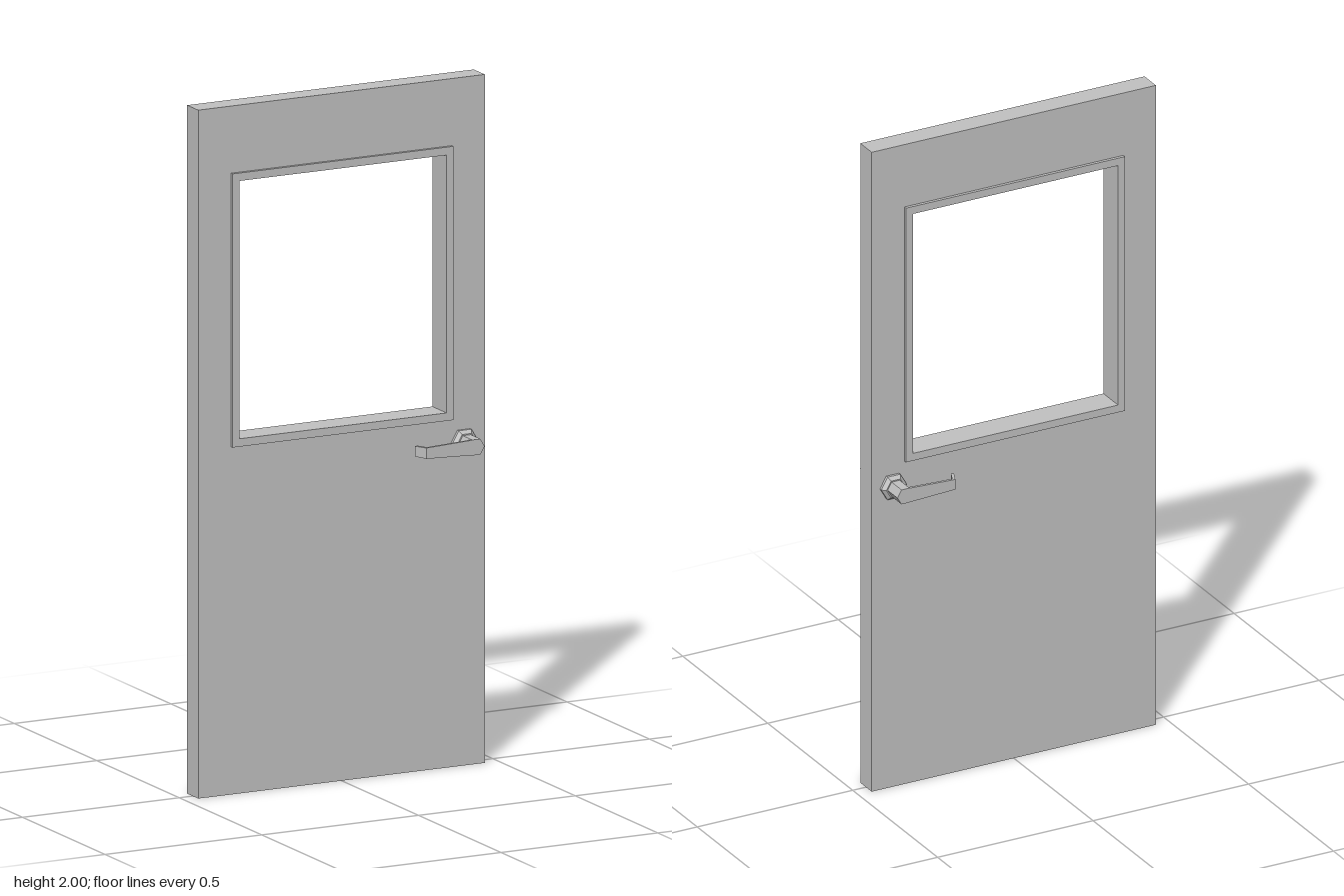
import * as THREE from 'three';

const steel = new THREE.MeshStandardMaterial({ color: 0xc0c0c0, flatShading: true });
steel.name = 'paintedSteel';

function add(parent, name, geometry) {
  const mesh = new THREE.Mesh(geometry, steel);
  mesh.name = name;
  parent.add(mesh);
  return mesh;
}

// Rectangle outline given by its edges
function rect(Kind, x, y0, y1) {
  return new Kind([[-x, y0], [x, y0], [x, y1], [-x, y1]].map(p => new THREE.Vector2(...p)));
}

// Rectangular panel with a window opening, centred on z = 0
function openPanel(outer, inner, depth) {
  const shape = rect(THREE.Shape, ...outer);
  shape.holes.push(rect(THREE.Path, ...inner));
  return new THREE.ExtrudeGeometry(shape, { depth, bevelEnabled: false }).translate(0, 0, -depth / 2);
}

// Lever arm: bent strip with a returned tip, narrowing towards the tip
function leverGeometry() {
  const profile = [[0, 0.11], [-0.16, 0.11], [-0.176, 0.073], [-0.168, 0.07], [-0.154, 0.102], [0, 0.102]];
  const shape = new THREE.Shape(profile.map(p => new THREE.Vector2(...p)));
  const g = new THREE.ExtrudeGeometry(shape, { depth: 2, bevelEnabled: false });
  g.translate(0, 0, -1).rotateX(Math.PI / 2);
  const pos = g.attributes.position;
  for (let i = 0; i < pos.count; i++) {
    const t = -pos.getX(i) / 0.176;
    pos.setY(i, pos.getY(i) * THREE.MathUtils.lerp(0.0225, 0.015, t));
  }
  g.computeVertexNormals();
  return g;
}

// Six-sided rose and spindle turned around the z axis
function spindleGeometry() {
  const profile = [[0.041, 0.034], [0.041, 0.042], [0.03, 0.052], [0.026, 0.052], [0.026, 0.11], [0, 0.11]];
  const g = new THREE.LatheGeometry(profile.map(p => new THREE.Vector2(...p)), 6, Math.PI / 2);
  return g.rotateX(Math.PI / 2);
}

export function createModel() {
  const door = new THREE.Group();
  door.name = 'door';

  add(door, 'doorLeaf', openPanel([0.457, 0, 2], [0.34, 1.022, 1.793], 0.067));
  add(door, 'windowFrame', openPanel([0.352, 1.01, 1.805], [0.33, 1.033, 1.782], 0.086));

  // One handle on each face
  const lever = leverGeometry();
  const spindle = spindleGeometry();
  for (const [name, turn] of [['frontHandle', 0], ['backHandle', Math.PI]]) {
    const handle = new THREE.Group();
    handle.name = name;
    add(handle, 'roseAndSpindle', spindle);
    add(handle, 'lever', lever);
    handle.position.set(0.39, 0.941, 0);
    handle.rotation.x = turn;
    door.add(handle);
  }
  return door;
}
